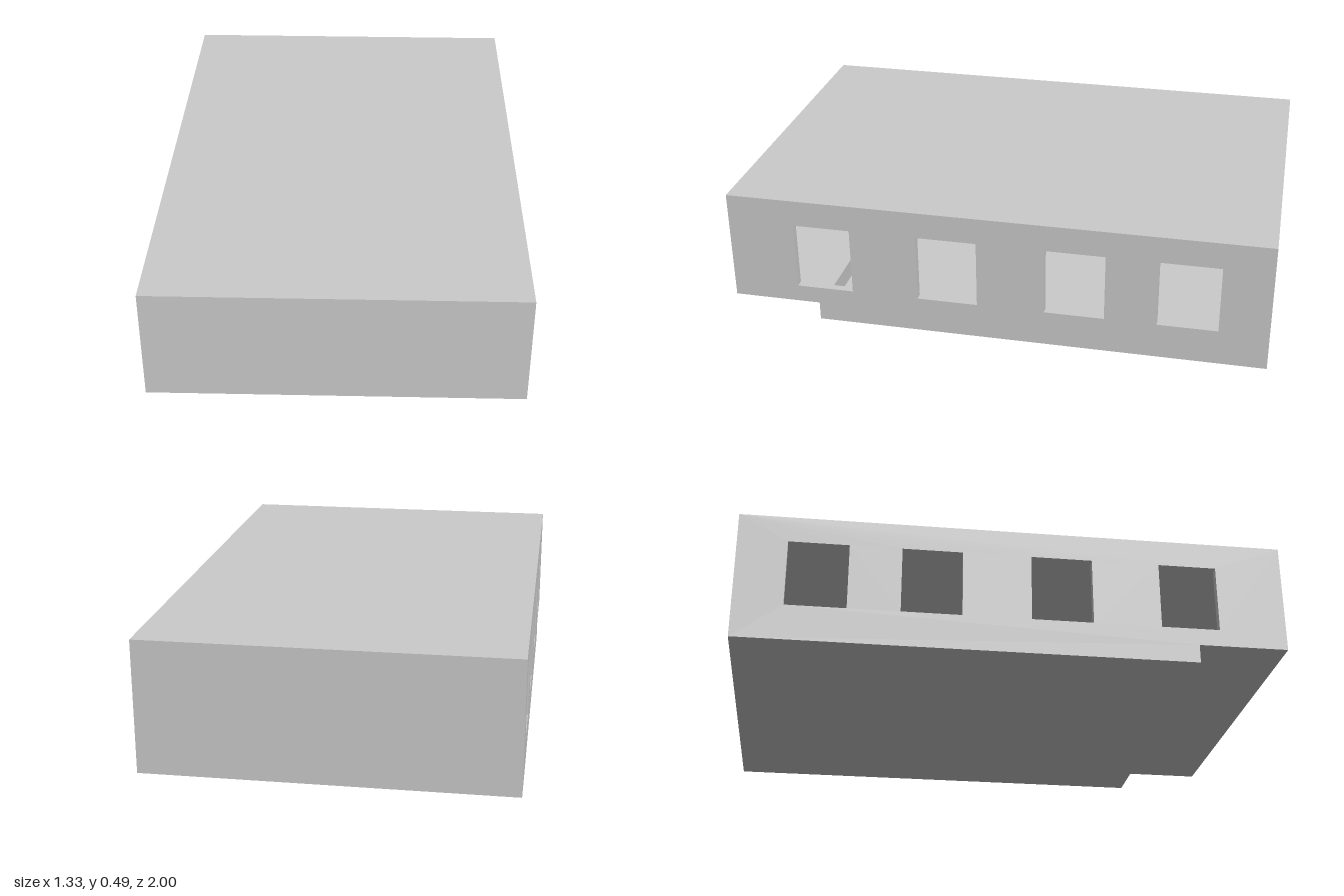
import * as THREE from 'three';

const W = 1.33, H = 0.49, T = 0.03; // width, height, wall thickness
const STEP_Z = 0.67, STEP_Y = 0.07; // raised underside at the front
const WINDOWS = [[0.535, 0.75], [0.06, 0.285], [-0.41, -0.19], [-0.82, -0.6]];
const SILL = 0.135, HEAD = 0.39;

// Points are [z, y]; the shape's own x is -z so that it can be extruded along +x.
const points = (list) => list.map(([z, y]) => new THREE.Vector2(-z, y));

// Stepped side profile, inset evenly by t.
const profile = (t) => points([
  [1 - t, STEP_Y + t], [STEP_Z - t, STEP_Y + t], [STEP_Z - t, t],
  [-1 + t, t], [-1 + t, H - t], [1 - t, H - t],
]);

function extrudeAlongX(shape, x0, x1, material, name) {
  const geometry = new THREE.ExtrudeGeometry(shape, { depth: x1 - x0, bevelEnabled: false });
  geometry.rotateY(Math.PI / 2);
  geometry.translate(x0, 0, 0);
  const mesh = new THREE.Mesh(geometry, material);
  mesh.name = name;
  return mesh;
}

export function createModel() {
  const group = new THREE.Group();
  group.name = 'hollowBuilding';
  const material = new THREE.MeshStandardMaterial({ color: 0xcccccc });

  // Roof, floor, front and back as one hollow stepped tube
  const shell = new THREE.Shape(profile(0));
  shell.holes.push(new THREE.Path(profile(T)));
  group.add(extrudeAlongX(shell, -W / 2 + T, W / 2 - T, material, 'roofFloorAndEndWalls'));

  // Side walls pierced by four windows each
  const wall = new THREE.Shape(profile(0));
  for (const [z0, z1] of WINDOWS) {
    wall.holes.push(new THREE.Path(points([[z0, SILL], [z1, SILL], [z1, HEAD], [z0, HEAD]])));
  }
  group.add(extrudeAlongX(wall, W / 2 - T, W / 2, material, 'leftWindowWall'));
  group.add(extrudeAlongX(wall, -W / 2, -W / 2 + T, material, 'rightWindowWall'));

  return group;
}
